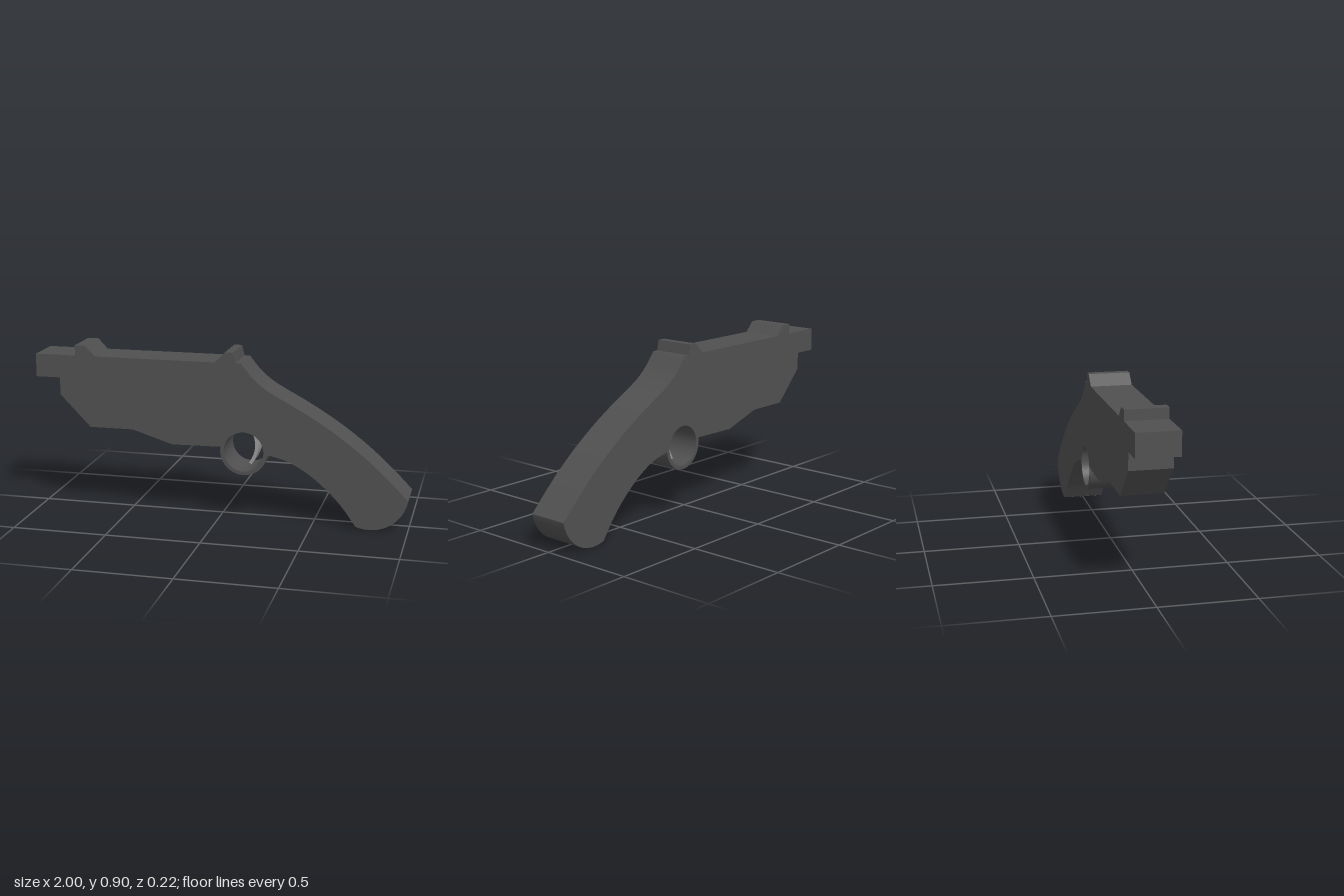
import * as THREE from 'three';
import { toCreasedNormals } from 'three/addons/utils/BufferGeometryUtils.js';

const GUARD = { x: 0.135, y: 0.375, outer: 0.125, inner: 0.106 };

// Extrude a side outline, centred on z = 0, with smooth curves and sharp edges
function slab(name, shape, depth, color) {
  const geo = new THREE.ExtrudeGeometry(shape, { depth, bevelEnabled: false, curveSegments: 24 });
  geo.translate(0, 0, -depth / 2);
  const mesh = new THREE.Mesh(toCreasedNormals(geo, 0.45), new THREE.MeshStandardMaterial({ color }));
  mesh.name = name;
  return mesh;
}

const points = (list) => list.map(([x, y]) => new THREE.Vector2(x, y));

function bodyShape() {
  const s = new THREE.Shape();
  // Barrel and fore-end, from the rear of the top edge round to the guard
  const straight = [
    [0.12, 0.845], [0.09, 0.845], [0.077, 0.9], [0.035, 0.9], [-0.02, 0.845], // rear sight
    [-0.67, 0.845], [-0.722, 0.9], [-0.78, 0.9], [-0.78, 0.845],              // front sight
    [-1, 0.845], [-1, 0.722], [-0.868, 0.722], [-0.868, 0.63],                // muzzle
    [-0.703, 0.46], [-0.468, 0.46], [-0.25, 0.392], [0.012, 0.396],           // fore-end
  ];
  straight.forEach(([x, y], i) => (i ? s.lineTo(x, y) : s.moveTo(x, y)));
  // Outside of the trigger guard
  s.absarc(GUARD.x, GUARD.y, GUARD.outer, Math.PI - 0.17, Math.PI * 2 - 0.06, false);
  // Underside of the grip
  s.splineThru(points([[0.37, 0.338], [0.48, 0.277], [0.58, 0.195], [0.66, 0.11], [0.73, 0.013]]));
  // Rounded butt
  s.absarc(0.8, 0.2, 0.2, -1.93, -0.15, false);
  // Back of the grip
  s.splineThru(points([[0.88, 0.288], [0.75, 0.402], [0.6, 0.512], [0.45, 0.604], [0.3, 0.685]]));
  s.splineThru(points([[0.24, 0.722], [0.18, 0.773], [0.12, 0.845]]));
  // Finger opening
  const hole = new THREE.Path();
  hole.absarc(GUARD.x, GUARD.y, GUARD.inner, 0, Math.PI * 2, true);
  s.holes.push(hole);
  return s;
}

function triggerShape() {
  const s = new THREE.Shape();
  s.moveTo(0.15, 0.5);
  s.quadraticCurveTo(0.22, 0.4, 0.152, 0.303);
  s.lineTo(0.168, 0.297);
  s.quadraticCurveTo(0.24, 0.4, 0.166, 0.5);
  s.closePath();
  return s;
}

export function createModel() {
  const model = new THREE.Group();
  model.name = 'model';
  model.add(slab('body', bodyShape(), 0.218, 0x505050));
  model.add(slab('trigger', triggerShape(), 0.11, 0x999999));
  return model;
}
